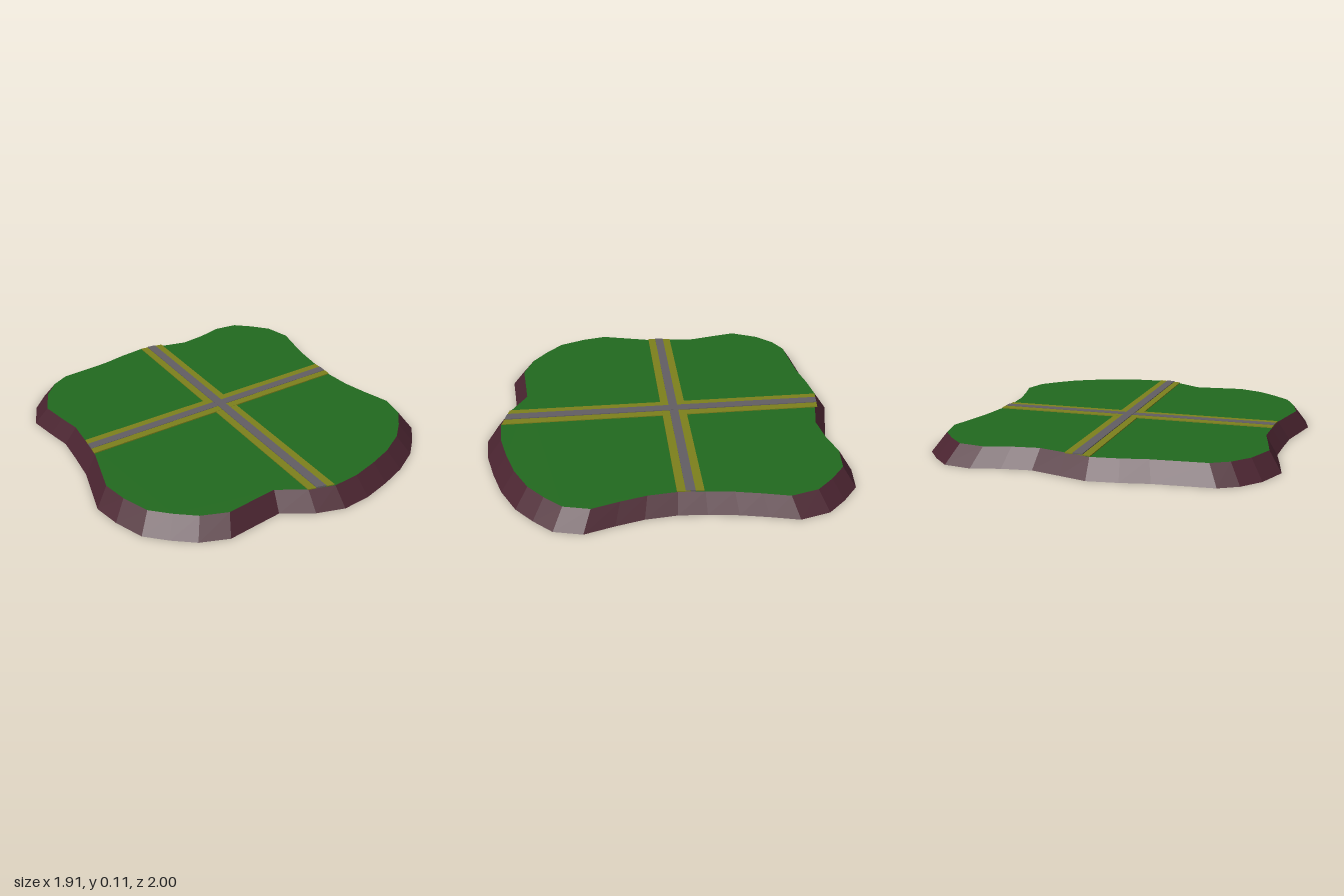
import * as THREE from 'three';

// Ground outline as x, z pairs, counterclockwise from above
const OUTLINE = [
  -0.04, -1, -0.2, -0.98, -0.35, -0.95, -0.66, -0.925, -0.76, -0.87, -0.85, -0.77, -0.92, -0.61,
  -0.89, -0.45, -0.86, -0.31, -0.87, -0.15, -0.885, 0.02, -0.96, 0.32, -0.93, 0.47, -0.87, 0.63,
  -0.77, 0.73, -0.66, 0.82, -0.51, 0.88, -0.36, 0.865, -0.2, 0.85, -0.04, 0.95, 0.11, 1,
  0.27, 0.99, 0.43, 0.95, 0.58, 0.9, 0.73, 0.82, 0.83, 0.73, 0.92, 0.63, 0.955, 0.48,
  0.91, 0.32, 0.875, 0.17, 0.86, 0, 0.87, -0.15, 0.89, -0.31, 0.92, -0.46, 0.955, -0.61,
  0.915, -0.77, 0.83, -0.87, 0.73, -0.96, 0.58, -0.98, 0.43, -0.94, 0.27, -0.92, 0.11, -0.96,
];
const TOP = 0.1;

export function createModel() {
  const group = new THREE.Group();
  const material = (color) => new THREE.MeshStandardMaterial({ color, flatShading: true });
  const grass = material(0x226a1f);
  const soil = material(0x4a2430);
  const verge = material(0x7e811c);
  const asphalt = material(0x625e64);

  function add(name, geometry, mat) {
    const mesh = new THREE.Mesh(geometry, mat);
    mesh.name = name;
    group.add(mesh);
  }
  const shapeFrom = (points) => new THREE.Shape(points.map(([x, z]) => new THREE.Vector2(x, -z)));

  const outer = [];
  for (let i = 0; i < OUTLINE.length; i += 2) outer.push([OUTLINE[i], OUTLINE[i + 1]]);
  const inner = outer.map(([x, z]) => [x * 0.925, z * 0.925 - 0.006]);

  // Sloping soil edge between the base outline and the smaller top outline
  const positions = [];
  outer.forEach((a, i) => {
    const j = (i + 1) % outer.length;
    const a0 = [a[0], 0, a[1]];
    const b0 = [outer[j][0], 0, outer[j][1]];
    const a1 = [inner[i][0], TOP, inner[i][1]];
    const b1 = [inner[j][0], TOP, inner[j][1]];
    positions.push(...a0, ...b0, ...b1, ...a0, ...b1, ...a1);
  });
  const edge = new THREE.BufferGeometry();
  edge.setAttribute('position', new THREE.Float32BufferAttribute(positions, 3));
  edge.computeVertexNormals();
  add('soilEdge', edge, soil);

  // Grass top and underside
  add('grassTop', new THREE.ShapeGeometry(shapeFrom(inner)).rotateX(-Math.PI / 2).translate(0, TOP, 0), grass);
  const under = new THREE.Shape(outer.map(([x, z]) => new THREE.Vector2(x, z)));
  add('underside', new THREE.ShapeGeometry(under).rotateX(Math.PI / 2), grass);

  // Thin slab following four corners on the ground
  function slab(name, corners, height, mat) {
    const geometry = new THREE.ExtrudeGeometry(shapeFrom(corners), { depth: height, bevelEnabled: false });
    add(name, geometry.rotateX(-Math.PI / 2).translate(0, TOP, 0), mat);
  }
  // Road ends are cut along the ground outline
  const backZ = (x) => -0.925 + (x + 0.04) * 0.13;
  const frontZ = (x) => 0.875 + (x + 0.04) * 0.28;
  const leftX = (z) => -0.805 - (z + 0.14) * 0.09;
  const lengthRoad = (a, b) => [[a, backZ(a)], [a, frontZ(a)], [b, frontZ(b)], [b, backZ(b)]];
  const crossRoad = (a, b) => [[leftX(a), a], [leftX(b), b], [0.797, b], [0.8, a]];

  slab('lengthRoadVerge', lengthRoad(-0.04, 0.1), 0.005, verge);
  slab('crossRoadVerge', crossRoad(-0.14, 0), 0.006, verge);
  slab('lengthRoad', lengthRoad(0.003, 0.055), 0.009, asphalt);
  slab('crossRoad', crossRoad(-0.095, -0.045), 0.008, asphalt);

  return group;
}
